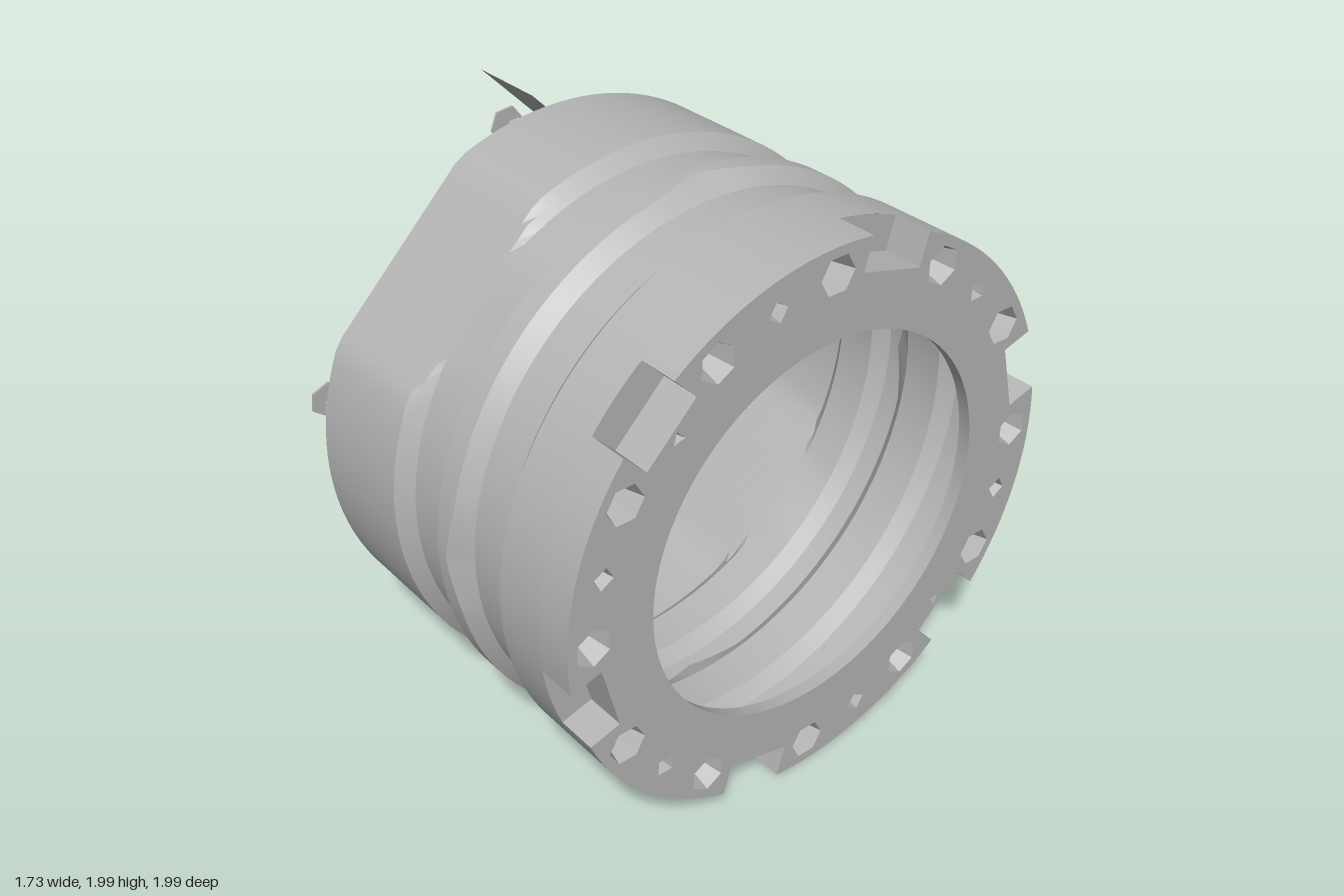
import * as THREE from 'three';
import { toCreasedNormals } from 'three/addons/utils/BufferGeometryUtils.js';

const R = 0.993, FRONT = 0.86, NOTCH_BACK = 0.72, NOTCH_R = 0.87, NOTCH_W = 0.125;
const rad = THREE.MathUtils.degToRad;

export function createModel() {
  const grey = new THREE.MeshStandardMaterial({ color: 0xb5b5b5, side: THREE.DoubleSide });
  grey.name = 'grey metal';
  const model = new THREE.Group();
  model.name = 'collar';
  const body = new THREE.Group();
  body.name = 'body';
  body.position.set(0, 1.007, -0.005);
  model.add(body);

  const add = (name, geo, parent = body, crease = 0.3) => {
    const mesh = new THREE.Mesh(toCreasedNormals(geo, crease), grey);
    mesh.name = name;
    parent.add(mesh);
    return mesh;
  };
  // surface of revolution about x from [x, radius] pairs
  const turned = (pts, seg, start = 0, len = Math.PI * 2) =>
    new THREE.LatheGeometry(pts.map(([x, r]) => new THREE.Vector2(r, x)), seg, start, len).rotateZ(-Math.PI / 2);
  // group whose local y points outward at angle a (0 = +z, 90 = up)
  const pivot = (name, a) => {
    const g = new THREE.Group();
    g.name = name;
    g.rotation.x = Math.PI / 2 - rad(a);
    body.add(g);
    return g;
  };
  // end plate coordinates of a radial and tangential offset at angle a
  const onPlate = (a, r, t = 0) => {
    const c = Math.cos(rad(a)), s = Math.sin(rad(a));
    return new THREE.Vector2(-(r * c + t * s), r * s - t * c);
  };

  // thin grooved shell
  const shell = turned([
    [-0.47, R], [-0.26, R], [-0.05, R], [-0.025, 0.969], [0, 0.945], [0.15, 0.945], [0.2, R],
    [0.28, R], [0.33, 0.945], [0.48, 0.945], [0.53, R], [NOTCH_BACK, R],
  ], 128);
  const pos = shell.attributes.position;
  for (let i = 0; i < pos.count; i++) {
    const x = pos.getX(i), y = pos.getY(i), z = pos.getZ(i);
    // two opposite flats on the open end
    const d = Math.abs(y + z) / Math.SQRT2;
    if (x < 0.01 && d > 0.927) {
      pos.setY(i, y * 0.927 / d);
      pos.setZ(i, z * 0.927 / d);
    }
    // ridge narrows at four points
    if (Math.abs(x - 0.28) < 0.005) {
      const off = Math.min(Math.abs(y), Math.abs(z));
      pos.setX(i, x - 0.04 * Math.max(0, 1 - off / 0.2));
    }
  }
  add('shell', shell);

  // end plate outline with six notches, plus rim pieces between them
  const notches = [0, 1, 2, 3, 4, 5].map(k => 45 + 60 * k);
  const half = THREE.MathUtils.radToDeg(Math.asin(NOTCH_W / R));
  const outline = [];
  for (const a of notches) {
    outline.push(onPlate(a, NOTCH_R, NOTCH_W), onPlate(a, NOTCH_R, -NOTCH_W));
    const span = 60 - 2 * half;
    for (let i = 0; i <= 16; i++) outline.push(onPlate(a + half + span * i / 16, R));
    add('rim', turned([[NOTCH_BACK, R], [FRONT, R]], 16, -rad(a + half + span), rad(span)));

    // notch pocket: box without its outer and end faces
    const outer = Math.sqrt(R * R - NOTCH_W * NOTCH_W);
    const box = new THREE.BoxGeometry(FRONT - NOTCH_BACK, outer - NOTCH_R, NOTCH_W * 2);
    const idx = Array.from(box.index.array);
    box.setIndex(idx.filter((_, i) => !(i < 6 || (i >= 12 && i < 18))));
    box.clearGroups();
    add('notch', box, pivot('notchGroup', a))
      .position.set((FRONT + NOTCH_BACK) / 2, (outer + NOTCH_R) / 2, 0);
    // cap the sliver between notch back and shell
    const sliver = new THREE.Shape([onPlate(a, outer, NOTCH_W), ...[-1, -0.5, 0, 0.5, 1].map(f =>
      onPlate(a + half * f, R)), onPlate(a, outer, -NOTCH_W)]);
    add('notchBack', new THREE.ShapeGeometry(sliver).rotateY(Math.PI / 2)).position.x = NOTCH_BACK;
  }
  const plate = new THREE.Shape(outline);
  plate.holes.push(new THREE.Path().absarc(0, 0, 0.68, 0, Math.PI * 2, true));

  // tapered recess sunk into the end plate
  const recess = (name, a, r, size, sides, depth) => {
    const hole = [];
    for (let i = 0; i < sides; i++) {
      const p = i / sides * Math.PI * 2;
      hole.push(onPlate(a, r - size * Math.sin(p), size * Math.cos(p)));
    }
    plate.holes.push(new THREE.Path(hole));
    const geo = turned([[-depth, 0], [-depth, size * 0.6], [0, size]], sides);
    add(name, geo, pivot(name + 'Group', a)).position.set(FRONT, r, 0);
  };
  for (let k = 0; k < 12; k++) recess('boltRecess', 30 * k, 0.9, 0.068, 6, 0.09);
  for (let k = 0; k < 6; k++) recess('smallRecess', 15 + 60 * k, 0.89, 0.038, 4, 0.05);
  for (const a of [45, 225]) recess('pinRecess', a, 0.835, 0.025, 3, 0.03);
  add('endPlate', new THREE.ShapeGeometry(plate, 48).rotateY(Math.PI / 2)).position.x = FRONT;
  add('lip', turned([[FRONT - 0.05, 0.685], [FRONT, 0.68]], 96));

  // bolts beside the flats
  for (const a of [7.2, 82.8, 187.2, 262.8]) {
    const bolt = pivot('bolt', a);
    add('boltShaft', turned([[-0.565, 0], [-0.565, 0.04], [-0.515, 0.028], [-0.47, 0.038]], 6), bolt).position.y = 0.905;
    add('boltHead', turned([[-0.64, 0], [-0.637, 0.03], [-0.618, 0.065], [-0.61, 0.065], [-0.61, 0]], 6), bolt).position.y = 0.905;
  }

  // tapered centre tube
  add('centreTube', turned([[-0.87, 0.125], [-0.57, 0.1]], 32));

  // slanted flat strip across one corner of the open end
  const strip = add('flatStrip', new THREE.PlaneGeometry(0.3, 1.457).rotateX(Math.PI / 4));
  strip.position.set(-0.72, 0.478, -0.48);

  return model;
}
